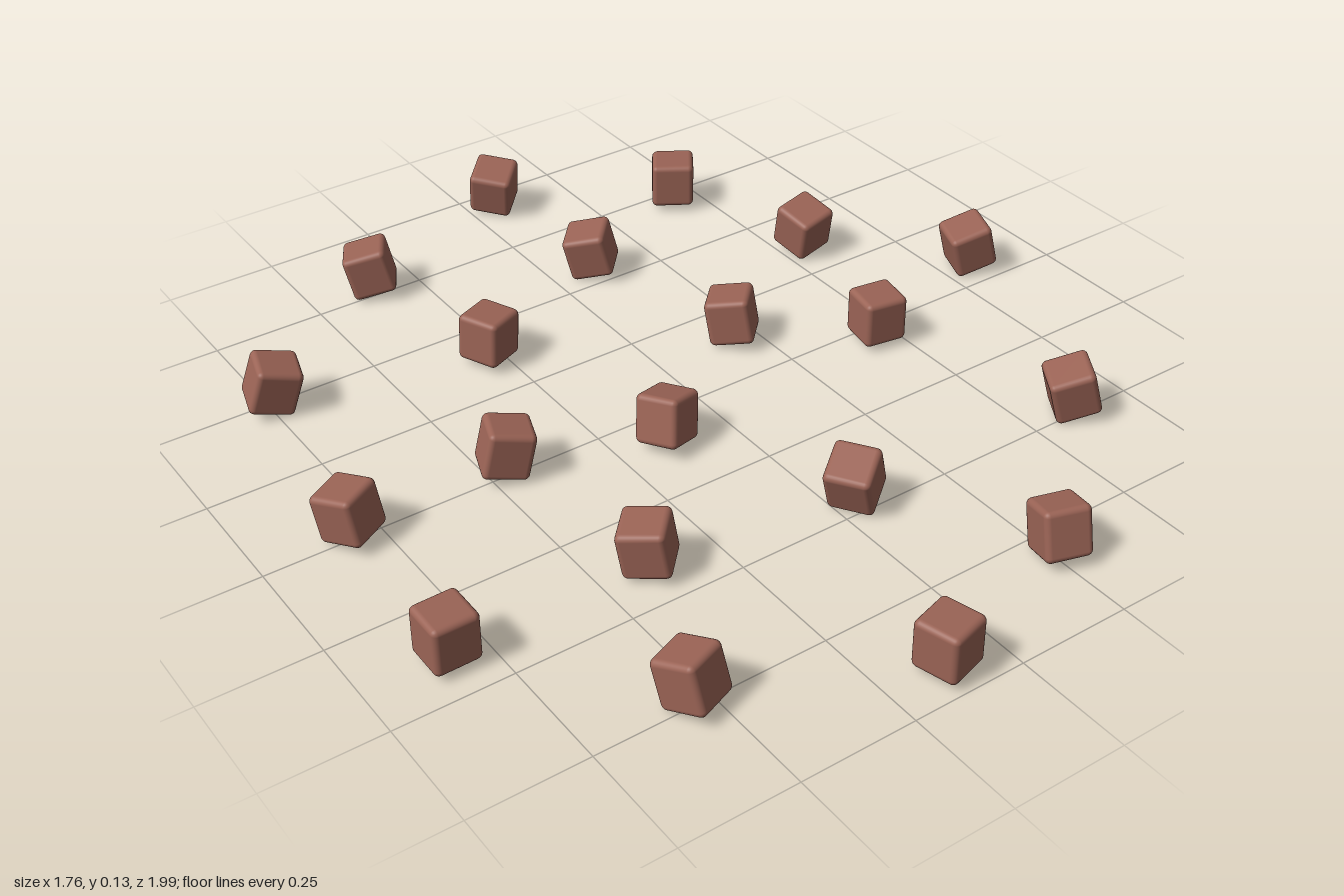
import * as THREE from 'three';
import { RoundedBoxGeometry } from 'three/addons/geometries/RoundedBoxGeometry.js';

// Softly worn cube: rounded edges with a slight low-frequency warp
function wornCube() {
  const geo = new RoundedBoxGeometry(0.098, 0.106, 0.098, 3, 0.012);
  const p = geo.attributes.position;
  for (let i = 0; i < p.count; i++) {
    const x = p.getX(i), y = p.getY(i), z = p.getZ(i);
    p.setXYZ(i,
      x + 0.0015 * Math.sin(50 * y + 30 * z),
      y + 0.0015 * Math.sin(55 * x - 35 * z),
      z + 0.0015 * Math.sin(45 * x + 40 * y));
  }
  geo.computeBoundingBox();
  return geo;
}

// Each cube: x, z, turn about y, lean about x, lean about z (degrees)
const CUBES = [
  [0.06, -0.93, 45, 14, 5],
  [-0.36, -0.77, -28, -6, 12],
  [0.43, -0.71, -33, 0, 0],
  [-0.74, -0.48, -15, 10, -15],
  [0.09, -0.55, -42, -4, 14],
  [-0.28, -0.38, 25, 0, -4],
  [0.55, -0.35, 10, 14, 4],
  [0.19, -0.14, 45, -8, 5],
  [0.81, -0.07, -18, 0, 16],
  [0.45, 0.04, -10, 0, 0],
  [-0.81, -0.01, 27, -8, 6],
  [-0.46, -0.01, -20, 4, -12],
  [-0.14, 0.09, 25, -12, -10],
  [-0.83, 0.4, 0, 0, 0],
  [-0.4, 0.4, 45, -3, 8],
  [0.04, 0.47, 35, 11, 18],
  [0.6, 0.49, -30, -3, 17],
  [-0.54, 0.74, 20, -15, 5],
  [0.26, 0.81, -18, -15, -4],
  [-0.12, 0.93, 15, 0, 0],
];

export function createModel() {
  const group = new THREE.Group();
  group.name = 'scatteredCubes';
  const brown = new THREE.MeshStandardMaterial({ color: 0x9a6355 });
  brown.name = 'reddishBrown';
  const geo = wornCube();
  const rad = THREE.MathUtils.degToRad;

  CUBES.forEach(([x, z, turn, leanX, leanZ], i) => {
    const cube = new THREE.Mesh(geo, brown);
    cube.name = `cube${i + 1}`;
    // Turn first, then lean about the world axes
    cube.quaternion
      .setFromEuler(new THREE.Euler(rad(leanX), 0, rad(leanZ)))
      .multiply(new THREE.Quaternion().setFromAxisAngle(new THREE.Vector3(0, 1, 0), rad(turn)));
    cube.position.set(x, 0.073, z);
    group.add(cube);
  });
  return group;
}
